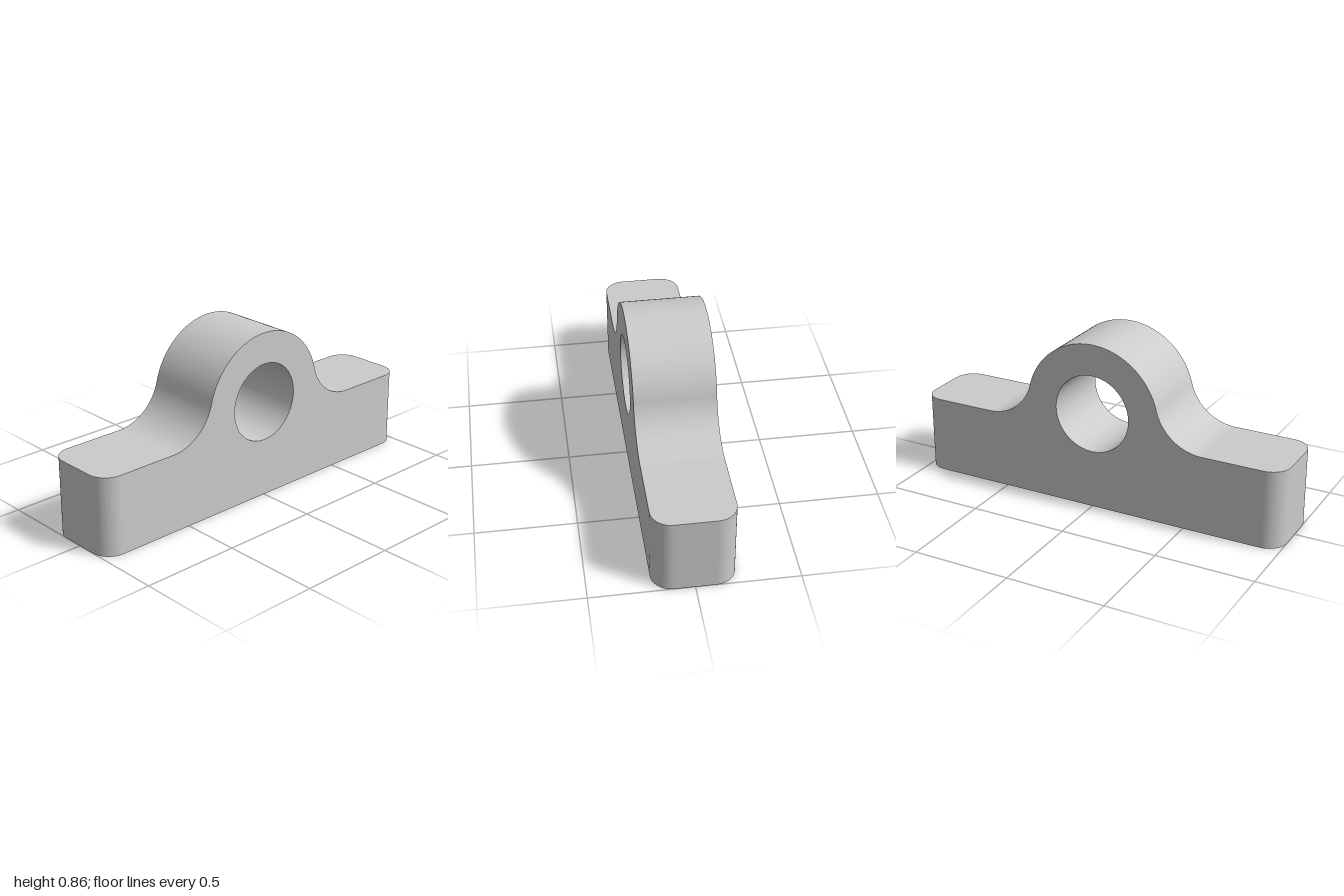
import * as THREE from 'three';
import { mergeGeometries, toCreasedNormals } from 'three/addons/utils/BufferGeometryUtils.js';

const HALF_W = 0.2, BASE_H = 0.4, END_Z = 0.9, CORNER = 0.1;
const BORE_Y = 0.5, BORE_R = 0.2, RING_R = 0.36, FILLET = 0.25;
const SOCKET_Z = 0.5, SOCKET_R = 0.05, SOCKET_DEPTH = 0.25;
const SEG = 40;

// Open wall swept along +z from a 2D outline (counter-clockwise faces outward)
function band(points, z0, z1) {
  const pos = [];
  for (let i = 0; i + 1 < points.length; i++) {
    const a = points[i], b = points[i + 1];
    pos.push(a.x, a.y, z0, b.x, b.y, z0, b.x, b.y, z1);
    pos.push(a.x, a.y, z0, b.x, b.y, z1, a.x, a.y, z1);
  }
  const g = new THREE.BufferGeometry();
  g.setAttribute('position', new THREE.Float32BufferAttribute(pos, 3));
  return g;
}

// Flat face holding positions only, so that it merges with the bands
function face(shape) {
  const g = new THREE.ShapeGeometry(shape, SEG).toNonIndexed();
  g.deleteAttribute('uv');
  g.deleteAttribute('normal');
  return g;
}

function part(name, geometries) {
  const geometry = toCreasedNormals(mergeGeometries(geometries), 0.6);
  const mesh = new THREE.Mesh(geometry, new THREE.MeshStandardMaterial({ color: 0xcccccc }));
  mesh.name = name;
  return mesh;
}

const circle = (x, y, r) => new THREE.Path().absarc(x, y, r, 0, Math.PI * 2, true);

// Upper outline: flat, fillet, ring, fillet, flat
function traceTop(path) {
  const cy = BASE_H + FILLET;
  const cz = Math.sqrt((RING_R + FILLET) ** 2 - (cy - BORE_Y) ** 2);
  const phi = Math.atan2(cy - BORE_Y, cz);
  path.lineTo(cz, BASE_H);
  path.absarc(cz, cy, FILLET, -Math.PI / 2, -Math.PI + phi, true);
  path.absarc(0, BORE_Y, RING_R, phi, Math.PI - phi, false);
  path.absarc(-cz, cy, FILLET, -phi, -Math.PI / 2, true);
  path.lineTo(-END_Z, BASE_H);
  return path;
}

// Rounded end of the base in plan
function traceEnd(path) {
  const x = HALF_W - CORNER;
  path.absarc(x, END_Z, CORNER, 0, Math.PI / 2, false);
  path.absarc(-x, END_Z, CORNER, Math.PI / 2, Math.PI, false);
  return path;
}

export function createModel() {
  const model = new THREE.Group();
  model.name = 'bearingBlock';

  // Housing: both cheeks, the arched top and the bore
  const cheek = new THREE.Shape();
  cheek.moveTo(-END_Z, 0).lineTo(END_Z, 0).lineTo(END_Z, BASE_H);
  traceTop(cheek);
  cheek.closePath();
  cheek.holes.push(circle(0, BORE_Y, BORE_R));
  const top = traceTop(new THREE.Path().moveTo(END_Z, BASE_H));
  const housing = part('housing', [
    face(cheek).translate(0, 0, HALF_W),
    face(cheek).translate(0, 0, HALF_W).rotateY(Math.PI),
    band(top.getPoints(SEG), -HALF_W, HALF_W),
    band(circle(0, BORE_Y, BORE_R).getPoints(SEG), -HALF_W, HALF_W),
  ]);
  housing.rotation.y = -Math.PI / 2;
  model.add(housing);

  // Rounded ends of the base
  const endShape = traceEnd(new THREE.Shape().moveTo(HALF_W, END_Z));
  const endWall = endShape.getPoints(SEG);
  endShape.closePath();
  for (const [name, turn] of [['backEnd', 0], ['frontEnd', Math.PI]]) {
    const end = part(name, [
      band(endWall, 0, BASE_H).rotateX(-Math.PI / 2),
      face(endShape).translate(0, 0, BASE_H).rotateX(-Math.PI / 2),
    ]);
    end.rotation.y = turn;
    model.add(end);
  }

  // Underside with two screw holes
  const under = traceEnd(new THREE.Shape().moveTo(HALF_W, END_Z));
  const x = HALF_W - CORNER;
  under.lineTo(-HALF_W, -END_Z);
  under.absarc(-x, -END_Z, CORNER, Math.PI, Math.PI * 1.5, false);
  under.absarc(x, -END_Z, CORNER, Math.PI * 1.5, Math.PI * 2, false);
  under.closePath();
  for (const s of [-1, 1]) under.holes.push(circle(0, s * SOCKET_Z, SOCKET_R));
  model.add(part('underside', [face(under).rotateX(Math.PI / 2)]));

  // Blind screw sockets
  const rim = new THREE.Shape().absarc(0, 0, SOCKET_R, 0, Math.PI * 2, true);
  for (const [name, s] of [['backSocket', -1], ['frontSocket', 1]]) {
    const socket = part(name, [
      band(rim.getPoints(SEG), 0, SOCKET_DEPTH).rotateX(-Math.PI / 2),
      face(rim).rotateX(Math.PI / 2).translate(0, SOCKET_DEPTH, 0),
    ]);
    socket.position.z = s * SOCKET_Z;
    model.add(socket);
  }
  return model;
}
